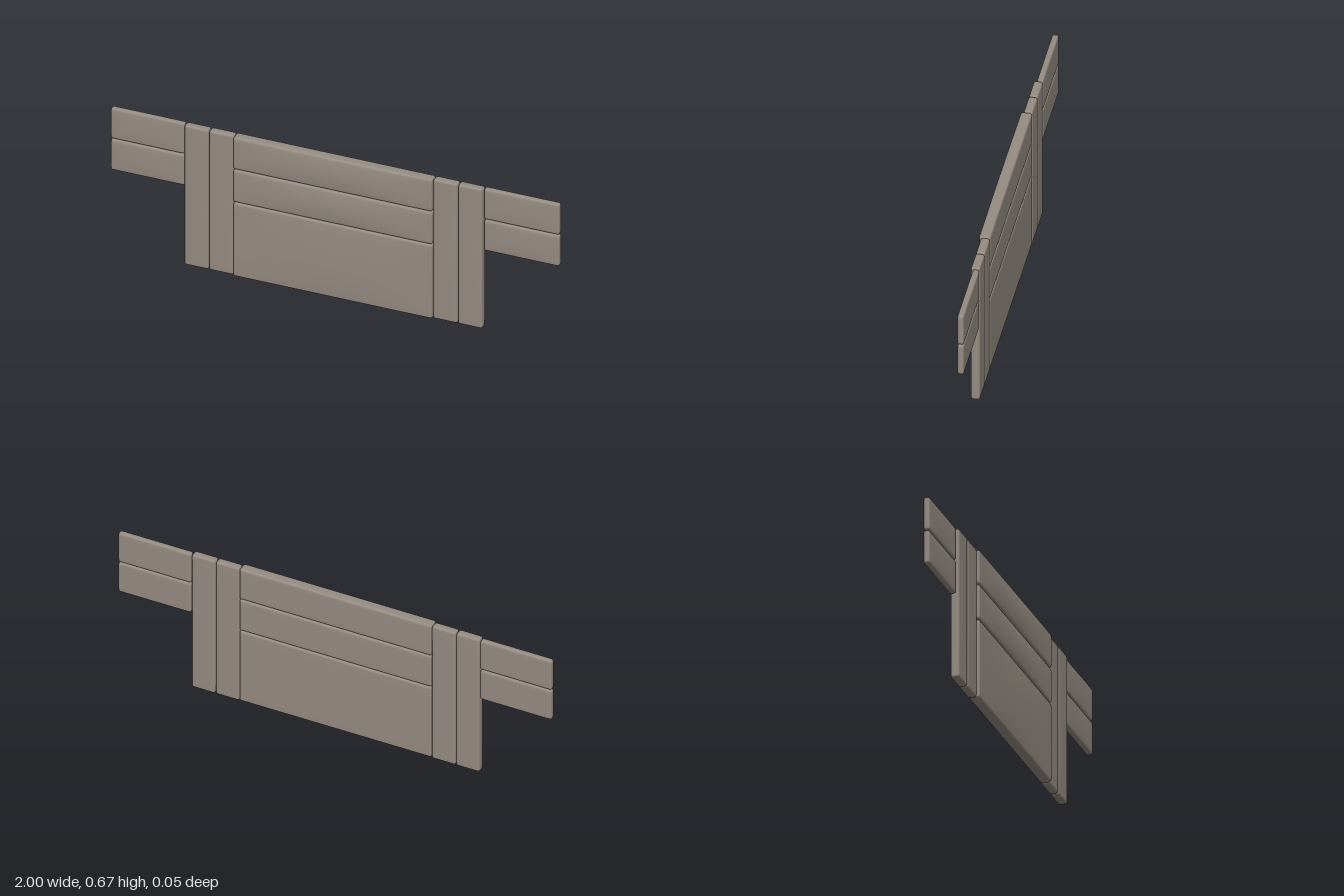
import * as THREE from 'three';
import { mergeVertices } from 'three/addons/utils/BufferGeometryUtils.js';

const BACK = -0.027;   // shared rear plane of every cushion
const CORNER = 3;      // segments across each rounded edge

// Places grid line i of n along a side of half length h, with edge radius r
function gridLine(i, n, h, r) {
  if (i <= CORNER) return -h + r * (1 - Math.cos((i / CORNER) * Math.PI / 2));
  if (i >= n - CORNER) return -gridLine(n - i, n, h, r);
  return (h - r) * (2 * (i - CORNER) / (n - 2 * CORNER) - 1);
}

// Rounded padded block with a slightly domed front
function cushion(name, x0, x1, y0, y1, front, bulge, r, material) {
  const half = [(x1 - x0) / 2, (y1 - y0) / 2, (front - BACK) / 2];
  const segs = [18, 16, 8];
  let geo = new THREE.BoxGeometry(1, 1, 1, ...segs);
  geo.deleteAttribute('uv');
  geo.deleteAttribute('normal');
  const pos = geo.attributes.position;
  const p = new THREE.Vector3(), inner = new THREE.Vector3();
  for (let k = 0; k < pos.count; k++) {
    p.fromBufferAttribute(pos, k);
    const q = p.toArray().map((c, a) =>
      gridLine(Math.round((c + 0.5) * segs[a]), segs[a], half[a], r));
    p.fromArray(q);
    // round the edges
    inner.fromArray(q.map((c, a) => THREE.MathUtils.clamp(c, r - half[a], half[a] - r)));
    p.sub(inner).setLength(r).add(inner);
    // dome the front
    if (p.z > 0) {
      const u = p.x / half[0], v = p.y / half[1];
      p.z += bulge * (1 - u * u) * (1 - v * v) * Math.min(1, p.z / (half[2] - r));
    }
    pos.setXYZ(k, p.x, p.y, p.z);
  }
  geo = mergeVertices(geo, 1e-5);
  geo.computeVertexNormals();
  const mesh = new THREE.Mesh(geo, material);
  mesh.name = name;
  mesh.position.set((x0 + x1) / 2, (y0 + y1) / 2, (front + BACK) / 2);
  return mesh;
}

export function createModel() {
  const model = new THREE.Group();
  model.name = 'paddedHeadboard';
  const fabric = new THREE.MeshStandardMaterial({ color: 0x968c82 });
  fabric.name = 'taupe fabric';

  // Three stacked centre panels
  [['lowerPanel', 0.002, 0.358], ['middlePanel', 0.361, 0.517], ['upperPanel', 0.52, 0.674]]
    .forEach(([name, y0, y1]) =>
      model.add(cushion(name, -0.446, 0.441, y0, y1, 0.021, 0.007, 0.01, fabric)));

  // Two upright panels on each side
  [['leftInnerUpright', 0.442, 0.55], ['leftOuterUpright', 0.553, 0.661],
    ['rightInnerUpright', -0.557, -0.447], ['rightOuterUpright', -0.668, -0.56]]
    .forEach(([name, x0, x1]) =>
      model.add(cushion(name, x0, x1, 0, 0.674, 0.011, 0.001, 0.01, fabric)));

  // Two stacked wing panels on each side
  [['left', 0.664, 1], ['right', -1, -0.671]].forEach(([side, x0, x1]) => {
    model.add(cushion(side + 'LowerWing', x0, x1, 0.375, 0.523, 0, 0.003, 0.009, fabric));
    model.add(cushion(side + 'UpperWing', x0, x1, 0.527, 0.674, 0, 0.003, 0.009, fabric));
  });

  return model;
}
